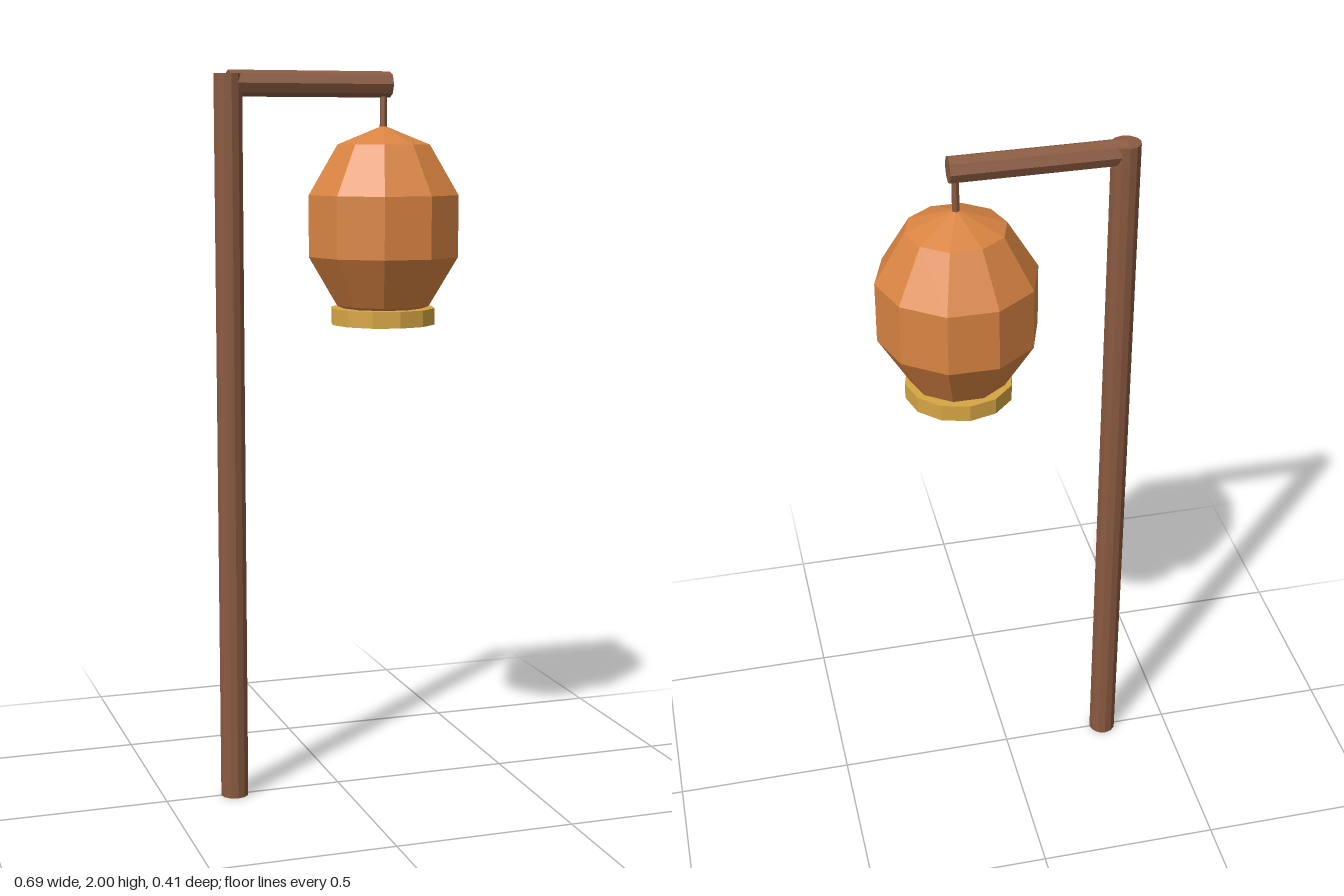
import * as THREE from 'three';

const mat = (name, color) => {
  const m = new THREE.MeshStandardMaterial({ color, flatShading: true });
  m.name = name;
  return m;
};

export function createModel() {
  const wood = mat('wood brown', 0x8a5a40);
  const paper = mat('lantern orange', 0xd98442);
  const gold = mat('gold', 0xd6a644);

  const group = new THREE.Group();
  group.name = 'hangingLantern';
  const add = (name, geometry, material, x, y) => {
    const mesh = new THREE.Mesh(geometry, material);
    mesh.name = name;
    mesh.position.set(x, y, 0);
    group.add(mesh);
    return mesh;
  };

  const poleX = -0.305, lampX = 0.13;

  // Upright pole
  add('pole', new THREE.CylinderGeometry(0.039, 0.039, 1.99, 12), wood, poleX, 0.995);

  // Horizontal arm, starting on the pole's axis
  const armLength = 0.453;
  const arm = new THREE.CylinderGeometry(0.035, 0.035, armLength, 8).rotateZ(Math.PI / 2);
  add('arm', arm, wood, poleX + armLength / 2, 1.965);

  // Short hanger between arm and lantern
  add('hanger', new THREE.CylinderGeometry(0.01, 0.01, 0.11, 6), wood, lampX, 1.895);

  // Faceted lantern body, taller than wide
  const body = new THREE.SphereGeometry(0.224, 10, 5).scale(1, 1.205, 1);
  add('lanternBody', body, paper, lampX, 1.586);

  // Base disc under the lantern
  add('lanternBase', new THREE.CylinderGeometry(0.145, 0.145, 0.045, 12), gold, lampX, 1.3375);

  return group;
}
